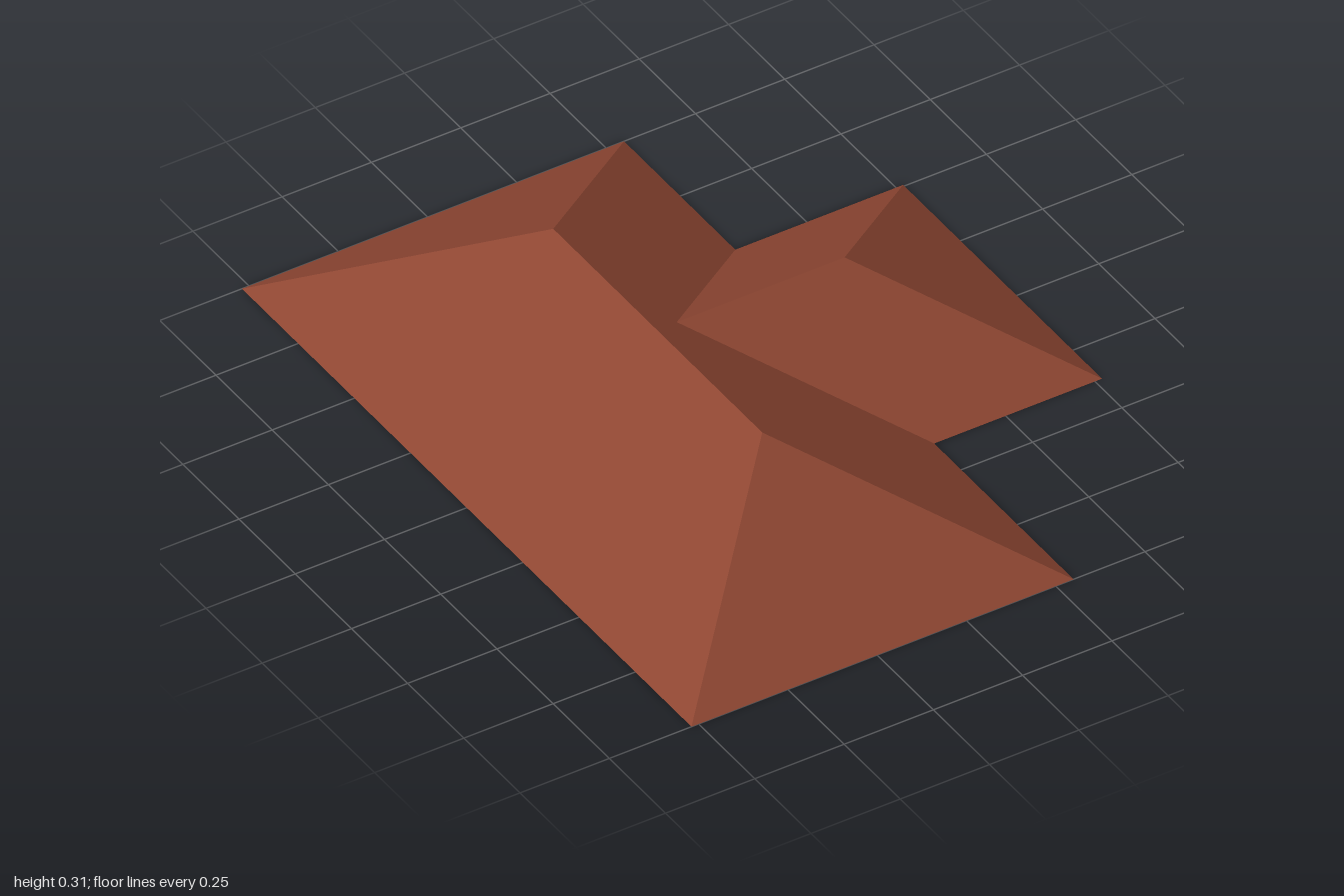
import * as THREE from 'three';

const PITCH = 0.31 / 0.535; // rise per unit of run
const RIM = 0.095;          // width of the flat eave underside

// Eave lines of the main hipped block and the side wing, moved in by t
function plan(t) {
  return {
    x0: -0.77 + t, x1: 0.30 - t, x2: 0.77 - t,
    z0: -1 + t, z1: 1 - t,
    w0: -0.505 + t, w1: 0.38 - t,
  };
}

// Corners of the L/T-shaped eave outline
function outline({ x0, x1, x2, z0, z1, w0, w1 }) {
  return [[x0, z0], [x1, z0], [x1, w0], [x2, w0], [x2, w1], [x1, w1], [x1, z1], [x0, z1]]
    .map(([x, z]) => new THREE.Vector2(x, z));
}

// Roof slopes grouped as main block and wing
function slopes(t) {
  const { x0, x1, x2, z0, z1, w0, w1 } = plan(t);
  const half = (x1 - x0) / 2, wingHalf = (w1 - w0) / 2;
  const rx = (x0 + x1) / 2, wz = (w0 + w1) / 2;
  const e = (x, z) => [x, 0, z];
  const ridgeBack = [rx, half * PITCH, z0 + half];
  const ridgeFront = [rx, half * PITCH, z1 - half];
  const valley = [x1 - wingHalf, wingHalf * PITCH, wz];
  const hip = [x2 - wingHalf, wingHalf * PITCH, wz];
  return {
    main: [
      [e(x0, z0), e(x0, z1), ridgeFront, ridgeBack],
      [e(x0, z1), e(x1, z1), ridgeFront],
      [e(x1, z0), e(x0, z0), ridgeBack],
      [valley, e(x1, w0), e(x1, z0), ridgeBack, ridgeFront, e(x1, z1), e(x1, w1)],
    ],
    wing: [
      [e(x1, w0), valley, hip, e(x2, w0)],
      [e(x1, w1), e(x2, w1), hip, valley],
      [e(x2, w0), hip, e(x2, w1)],
    ],
  };
}

// Fan each flat face into triangles facing up (side 1) or down (side -1)
function facesGeometry(faces, side) {
  const pos = [];
  for (const f of faces) {
    for (let i = 1; i < f.length - 1; i++) {
      const [a, b, c] = [f[0], f[i], f[i + 1]];
      const up = (b[2] - a[2]) * (c[0] - a[0]) - (b[0] - a[0]) * (c[2] - a[2]);
      pos.push(...a, ...(up * side > 0 ? [...b, ...c] : [...c, ...b]));
    }
  }
  const g = new THREE.BufferGeometry();
  g.setAttribute('position', new THREE.Float32BufferAttribute(pos, 3));
  g.computeVertexNormals();
  return g;
}

export function createModel() {
  const tile = new THREE.MeshStandardMaterial({ color: 0x8e4632 });
  tile.name = 'terracotta';
  const under = new THREE.MeshStandardMaterial({ color: 0x666666 });
  under.name = 'undersideGrey';

  const model = new THREE.Group();
  model.name = 'hippedRoof';
  const add = (name, geometry, material) => {
    const mesh = new THREE.Mesh(geometry, material);
    mesh.name = name;
    model.add(mesh);
  };

  // Tiled slopes outside, parallel ceiling inside
  const outer = slopes(0), inner = slopes(RIM);
  add('mainRoof', facesGeometry(outer.main, 1), tile);
  add('wingRoof', facesGeometry(outer.wing, 1), tile);
  add('mainCeiling', facesGeometry(inner.main, -1), under);
  add('wingCeiling', facesGeometry(inner.wing, -1), under);

  // Flat eave underside joining the two
  const rim = new THREE.Shape(outline(plan(0)));
  rim.holes.push(new THREE.Path(outline(plan(RIM))));
  add('eaveUnderside', new THREE.ShapeGeometry(rim).rotateX(Math.PI / 2), under);

  return model;
}
